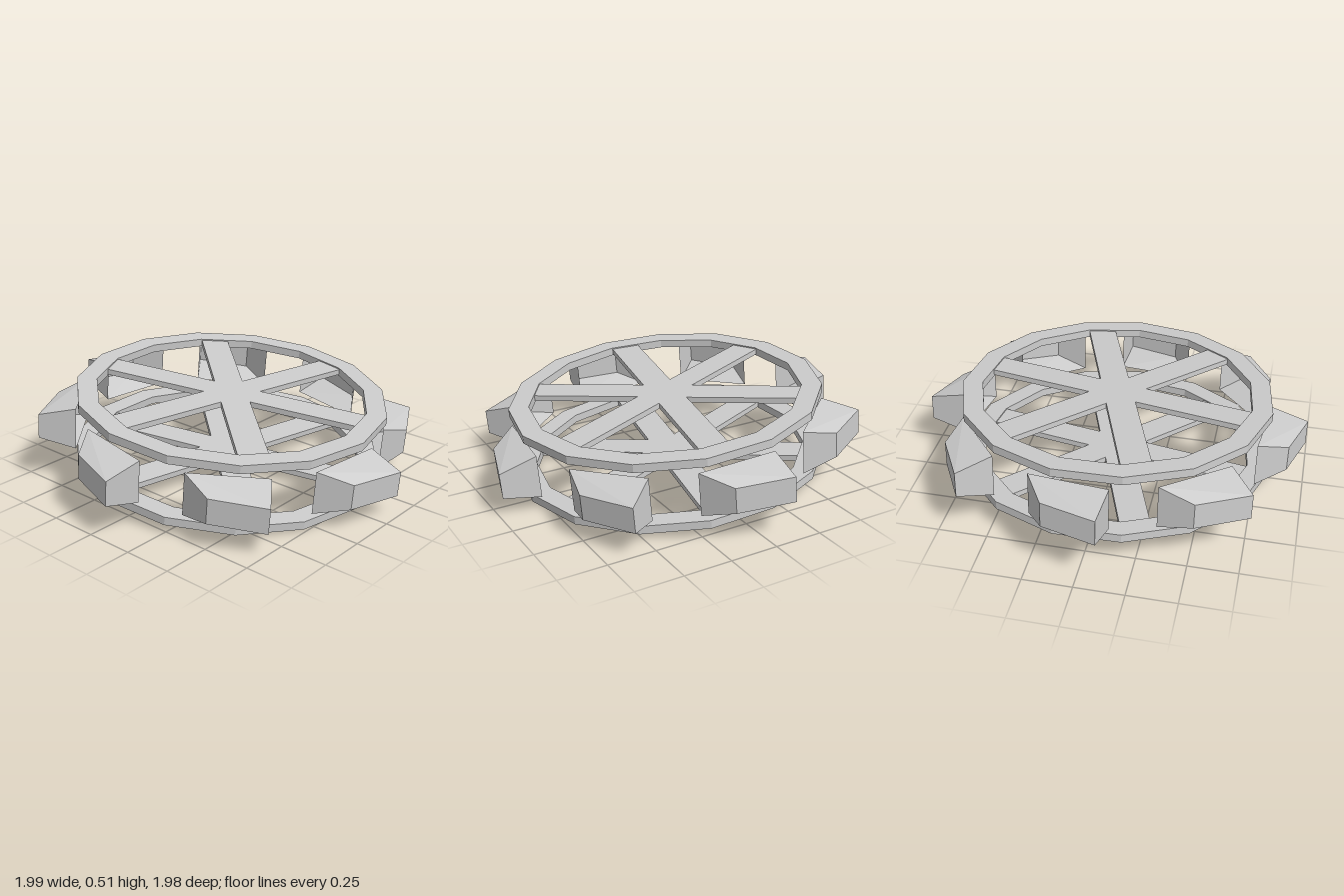
import * as THREE from 'three';

const rad = THREE.MathUtils.degToRad;
const material = new THREE.MeshStandardMaterial({ color: 0xcccccc, flatShading: true, side: THREE.DoubleSide });

// Point on the wheel from angle (degrees), radius and height
const polar = (deg, r, y) => [r * Math.cos(rad(deg)), y, -r * Math.sin(rad(deg))];

// Faceted rim band with a square section
function rimGeometry(outer, inner, height, sides) {
  const ring = (r) => Array.from({ length: sides }, (_, i) => {
    const a = rad(1.5) + (i / sides) * Math.PI * 2;
    return new THREE.Vector2(r * Math.cos(a), r * Math.sin(a));
  });
  const shape = new THREE.Shape(ring(outer));
  shape.holes.push(new THREE.Path(ring(inner)));
  const geo = new THREE.ExtrudeGeometry(shape, { depth: height, bevelEnabled: false });
  return geo.translate(0, 0, -height / 2).rotateX(-Math.PI / 2);
}

// Skewed tapering scoop, open towards the hub
function bucketGeometry() {
  const outerH = 0.066, innerH = 0.113;
  const corners = [[-19.6, 0.806, innerH], [-10.6, 0.926, outerH], [6.2, 0.997, outerH], [9.2, 0.81, innerH]];
  const top = corners.map(([a, r, h]) => polar(a, r, h));
  const low = corners.map(([a, r, h]) => polar(a, r, -h));
  const pos = [];
  const quad = (a, b, c, d) => pos.push(...a, ...b, ...c, ...a, ...c, ...d);
  quad(...top);
  quad(low[3], low[2], low[1], low[0]);
  for (let i = 0; i < 3; i++) quad(low[i], low[i + 1], top[i + 1], top[i]);
  const geo = new THREE.BufferGeometry();
  geo.setAttribute('position', new THREE.Float32BufferAttribute(pos, 3));
  geo.computeVertexNormals();
  return geo;
}

export function createModel() {
  const model = new THREE.Group();
  model.name = 'waterWheel';

  // Everything sits on a slightly tilted axis
  const wheel = new THREE.Group();
  wheel.name = 'tiltedWheel';
  wheel.position.set(0.003, 0.257, 0);
  wheel.rotation.z = rad(-5);
  model.add(wheel);

  const add = (parent, geo, name) => {
    const mesh = new THREE.Mesh(geo, material);
    mesh.name = name;
    parent.add(mesh);
    return mesh;
  };

  // Two side frames: rim and three crossing spoke bars
  const rim = rimGeometry(0.815, 0.71, 0.043, 15);
  const bar = new THREE.BoxGeometry(1.45, 0.03, 0.15);
  for (const side of [1, -1]) {
    const frame = new THREE.Group();
    frame.name = side > 0 ? 'upperFrame' : 'lowerFrame';
    frame.position.y = side * 0.164;
    wheel.add(frame);
    add(frame, rim, 'rim');
    for (let i = 0; i < 3; i++) add(frame, bar, 'spokeBar').rotation.y = rad(19 + 60 * i);
  }

  // Eight buckets between the frames
  const bucket = bucketGeometry();
  for (let i = 0; i < 8; i++) add(wheel, bucket, 'bucket').rotation.y = (i * Math.PI) / 4;

  return model;
}
